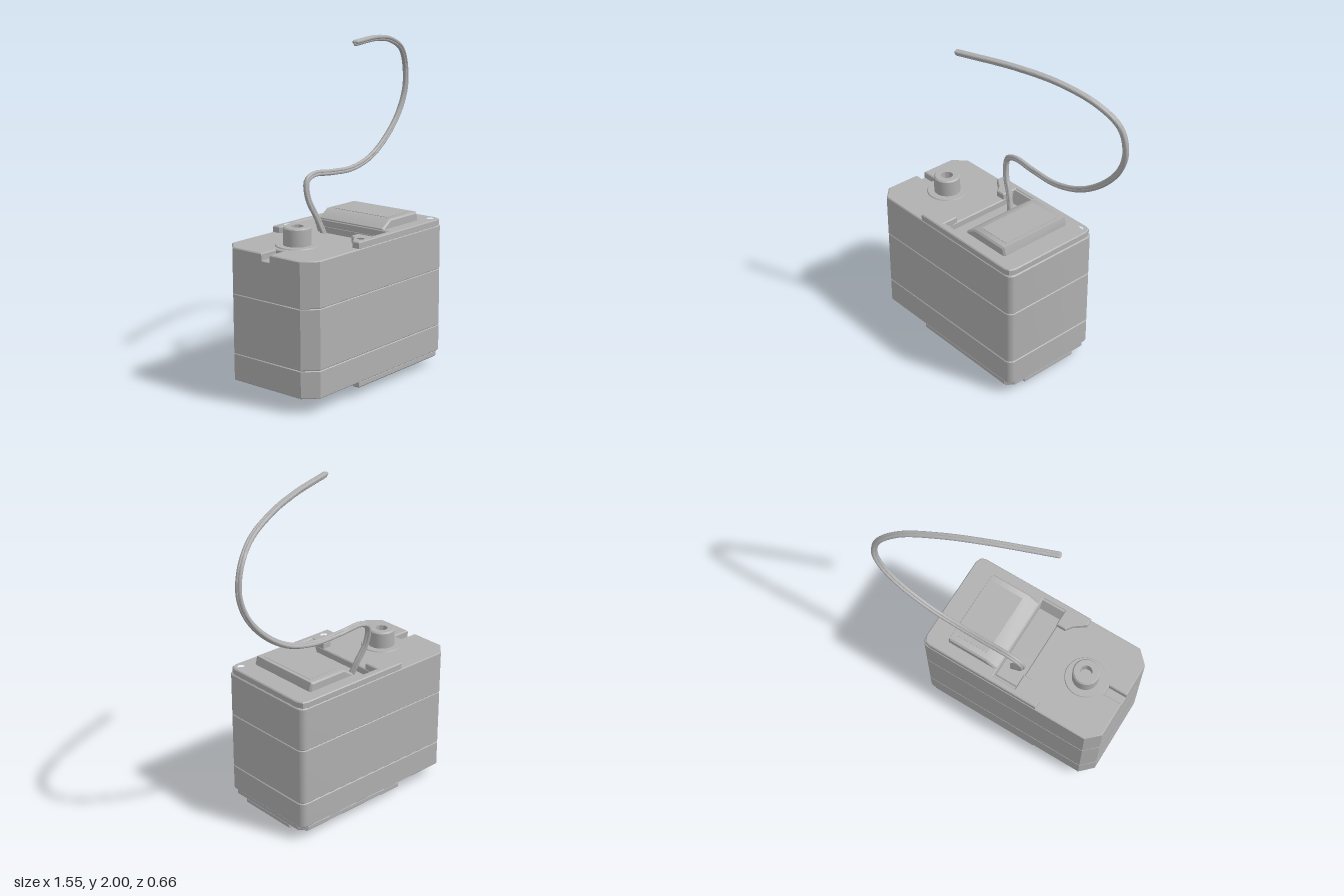
import * as THREE from 'three';
import { toCreasedNormals } from 'three/addons/utils/BufferGeometryUtils.js';

const casing = new THREE.MeshStandardMaterial({ color: 0xb0b0b0 });
casing.name = 'casing grey';

function add(parent, name, geometry, x = 0, y = 0, z = 0) {
  const mesh = new THREE.Mesh(toCreasedNormals(geometry, 0.6), casing);
  mesh.name = name;
  mesh.position.set(x, y, z);
  parent.add(mesh);
  return mesh;
}

// Plan outline (x, z) extruded between two heights
function slab(parent, name, shape, y0, y1, bevel = 0.005) {
  const geometry = new THREE.ExtrudeGeometry(shape, {
    depth: y1 - y0 - 2 * bevel, bevelEnabled: bevel > 0, bevelSize: bevel,
    bevelThickness: bevel, bevelOffset: -bevel, bevelSegments: 1, curveSegments: 8,
  });
  geometry.translate(0, 0, bevel).rotateX(Math.PI / 2);
  return add(parent, name, geometry, 0, y1, 0);
}

const polygon = (pts) => new THREE.Shape(pts.map(([x, z]) => new THREE.Vector2(x, z)));
const rect = (x0, x1, z0, z1) => polygon([[x0, z0], [x1, z0], [x1, z1], [x0, z1]]);
const circle = (x, z, r) => new THREE.Path().absarc(x, z, r, 0, Math.PI * 2, true);

// Case outline: chamfered at the shaft end, rounded at the other
function caseOutline(notched) {
  const s = new THREE.Shape();
  const L = -0.772, R = 0.427, W = 0.326, r = 0.045;
  s.moveTo(-0.695, -W);
  s.lineTo(R - r, -W);
  s.absarc(R - r, -W + r, r, -Math.PI / 2, 0, false);
  s.absarc(R - r, W - r, r, 0, Math.PI / 2, false);
  s.lineTo(-0.695, W);
  s.lineTo(L, 0.25);
  if (notched) {
    s.lineTo(L, 0.03);
    s.lineTo(-0.655, 0.03);
    s.lineTo(-0.655, -0.03);
    s.lineTo(L, -0.03);
  }
  s.lineTo(L, -0.25);
  return s;
}

// Half of a raised deck outline with a screw tab, mirrored in z
function deckOutline(inner, backX) {
  const half = [[backX, inner], [-0.2, inner], [-0.2, 0.185], [-0.26, 0.185],
    [-0.29, 0.225], [-0.36, 0.275], [-0.36, 0.322], [0.375, 0.322],
    [0.405, 0.312], [0.42, 0.275]];
  return polygon([...half, ...half.map(([x, z]) => [x, -z]).reverse()]);
}

// Flat-topped hub with a blind bore
function hub(parent, name, x, yBase, yTip, r, bore) {
  const h = Math.abs(yTip - yBase);
  const profile = [[0, h * 0.4], [bore, h * 0.4], [bore, h], [r - 0.008, h], [r, h - 0.008], [r, 0]]
    .reverse().map(([a, b]) => new THREE.Vector2(a, b));
  const mesh = add(parent, name, new THREE.LatheGeometry(profile, 32), x, yBase, 0);
  if (yTip < yBase) mesh.rotation.x = Math.PI;
  return mesh;
}

export function createModel() {
  const model = new THREE.Group();
  const body = new THREE.Group();
  body.name = 'servoBody';
  body.rotation.y = -0.012;
  model.add(body);

  // Three stacked case sections; the bevels make the seams
  slab(body, 'lowerCase', caseOutline(false), 0.09, 0.25);
  slab(body, 'middleCase', caseOutline(false), 0.25, 0.6);
  slab(body, 'upperCase', caseOutline(false), 0.6, 0.825, 0.004);
  const lid = caseOutline(true);
  const pocket = rect(-0.2, -0.05, -0.285, 0.285);
  lid.holes.push(pocket);
  slab(body, 'upperLid', lid, 0.815, 0.867, 0.006);

  const screws = [];
  for (const side of [-1, 1]) screws.push([-0.285, side * 0.275], [0.37, side * 0.272]);

  // Raised deck around the cable pocket
  const deck = deckOutline(0.285, -0.05);
  deck.holes.push(...screws.map(([x, z]) => circle(x, z, 0.027)));
  // The deck's open end begins beyond the pocket
  slab(body, 'topDeck', deck, 0.86, 0.905, 0.006);
  for (const [x, z] of screws) {
    add(body, 'topScrew', new THREE.CylinderGeometry(0.021, 0.021, 0.025, 20), x, 0.88, z);
  }

  // Sloping end walls of the cable pocket
  for (const side of [-1, 1]) {
    const wedge = polygon([[0, 0], [0.045, 0], [0.045, 0.075], [0.03, 0.075]]);
    const g = new THREE.ExtrudeGeometry(wedge, { depth: 0.15, bevelEnabled: false });
    g.translate(0, 0, -0.075).rotateY(-side * Math.PI / 2);
    add(body, 'pocketSlope', g, -0.125, 0.824, side * 0.245);
  }

  // Cover block with a sloping leading edge and an inset panel
  const cover = polygon([[-0.05, 0.83], [0.29, 0.83], [0.29, 0.91], [0.278, 0.957],
    [0.025, 0.957], [-0.045, 0.91]]);
  const coverGeometry = new THREE.ExtrudeGeometry(cover, {
    depth: 0.47, bevelThickness: 0.01, bevelSize: 0.01, bevelOffset: -0.01, bevelSegments: 1,
  });
  add(body, 'motorCover', coverGeometry, 0, 0, -0.235);
  add(body, 'coverPanel', new THREE.BoxGeometry(0.21, 0.004, 0.4), 0.15, 0.957, 0);

  // Output shaft above, with its collar
  add(body, 'shaftCollar', new THREE.CylinderGeometry(0.12, 0.125, 0.008, 40), -0.51, 0.869, 0);
  hub(body, 'topShaft', -0.51, 0.867, 0.977, 0.08, 0.036);

  // Base: screw rails, plate and inner panel
  const rails = polygon([[-0.36, -0.322], [0.375, -0.322], [0.42, -0.275], [0.42, 0.275],
    [0.375, 0.322], [-0.36, 0.322], [-0.36, 0.275], [-0.27, 0.2], [-0.27, -0.2], [-0.36, -0.275]]);
  rails.holes.push(...screws.map(([x, z]) => circle(x, z, 0.027)));
  slab(body, 'baseRails', rails, 0.055, 0.095, 0.008);
  slab(body, 'basePlate', rect(-0.27, 0.415, -0.195, 0.195), 0.025, 0.065, 0.01);
  slab(body, 'basePanel', rect(-0.2, 0.34, -0.15, 0.15), 0.021, 0.03, 0.002);
  for (const [x, z] of screws) {
    add(body, 'baseScrew', new THREE.CylinderGeometry(0.021, 0.021, 0.025, 20), x, 0.08, z);
  }

  // Splined output shaft below
  add(body, 'lowerCollar', new THREE.CylinderGeometry(0.125, 0.12, 0.008, 40), -0.51, 0.088, 0);
  const teeth = 24;
  const spline = polygon(Array.from({ length: teeth * 2 }, (_, i) => {
    const a = i * Math.PI / teeth;
    const r = i % 2 ? 0.07 : 0.08;
    return [-0.51 + r * Math.cos(a), r * Math.sin(a)];
  }));
  spline.holes.push(circle(-0.51, 0, 0.04));
  slab(body, 'splinedShaft', spline, 0, 0.09, 0.004);

  // Cable: three strands twisted into one bundle
  const path = new THREE.CatmullRomCurve3([
    [-0.1, 0.83, -0.155], [-0.135, 0.93, -0.178], [-0.188, 1.05, -0.2], [-0.186, 1.155, -0.212],
    [-0.125, 1.186, -0.213], [0.03, 1.177, -0.208], [0.22, 1.174, -0.203], [0.42, 1.225, -0.207],
    [0.6, 1.345, -0.212], [0.715, 1.485, -0.211], [0.755, 1.62, -0.202], [0.725, 1.76, -0.183],
    [0.61, 1.87, -0.128], [0.4, 1.945, -0.052], [0.15, 1.977, 0.037], [-0.195, 1.982, 0.16],
  ].map((p) => new THREE.Vector3(...p)), false, 'centripetal');
  const cable = new THREE.Group();
  cable.name = 'cable';
  model.add(cable);
  const steps = 120;
  const frames = path.computeFrenetFrames(steps, false);
  for (let k = 0; k < 3; k++) {
    const a = k * Math.PI * 2 / 3;
    const points = Array.from({ length: steps + 1 }, (_, i) => path.getPointAt(i / steps)
      .addScaledVector(frames.normals[i], 0.008 * Math.cos(a))
      .addScaledVector(frames.binormals[i], 0.008 * Math.sin(a)));
    const strand = new THREE.CatmullRomCurve3(points);
    add(cable, 'strand', new THREE.TubeGeometry(strand, 140, 0.0115, 12, false));
    // Rounded caps close the strand ends
    for (const p of [points[0], points[steps]]) {
      add(cable, 'strandEnd', new THREE.SphereGeometry(0.0114, 12, 8), p.x, p.y, p.z);
    }
  }
  return model;
}
